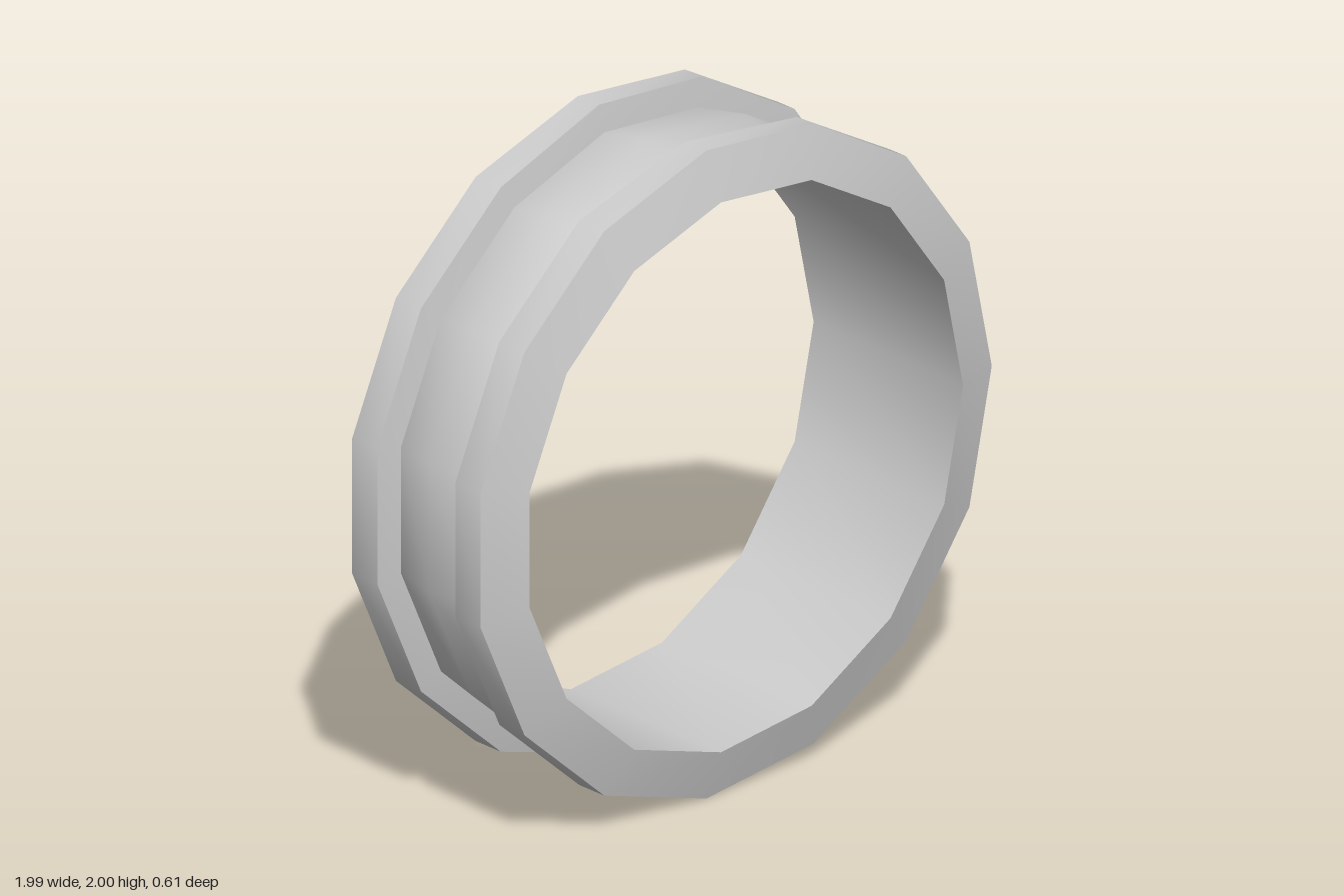
import * as THREE from 'three';
import { toCreasedNormals } from 'three/addons/utils/BufferGeometryUtils.js';

const SIDES = 15;
const INNER = 0.853, OUTER = 1.0055, FLOOR = 0.955;
const HALF = 0.307, LAND = 0.264; // half width at the bore and at the rim land

// Cross-section (radius, z) from front bore edge over the outside to the back.
// The groove is wider on the +x side and narrows to the -x side.
function section(angle) {
  const rim = THREE.MathUtils.lerp(0.161, 0.196,
    THREE.MathUtils.clamp((Math.cos(angle) + 0.5) / 0.809, 0, 1));
  const foot = rim - 0.014;
  const half = [
    [INNER, HALF], [OUTER, LAND], [OUTER, rim], [FLOOR - 0.2 * foot, foot],
  ];
  const back = half.map(([r, z]) => [r, -z]).reverse();
  return [...half, [FLOOR, 0], ...back];
}

function grooveRing() {
  const positions = [], index = [];
  let n = 0;
  for (let i = 0; i < SIDES; i++) {
    const a = (i / SIDES) * Math.PI * 2;
    const pts = section(a);
    n = pts.length;
    for (const [r, z] of pts) positions.push(r * Math.cos(a), r * Math.sin(a), z);
  }
  // Join neighbouring sections; the last profile point wraps round to close the bore
  for (let i = 0; i < SIDES; i++) {
    const p = i * n, q = ((i + 1) % SIDES) * n;
    for (let j = 0; j < n; j++) {
      const k = (j + 1) % n;
      index.push(p + j, p + k, q + j, q + j, p + k, q + k);
    }
  }
  const geometry = new THREE.BufferGeometry();
  geometry.setAttribute('position', new THREE.Float32BufferAttribute(positions, 3));
  geometry.setIndex(index);
  return toCreasedNormals(geometry, THREE.MathUtils.degToRad(35));
}

export function createModel() {
  const group = new THREE.Group();
  group.name = 'groovedRing';
  const grey = new THREE.MeshStandardMaterial({ color: 0xcccccc });
  grey.name = 'light grey';

  const ring = new THREE.Mesh(grooveRing(), grey);
  ring.name = 'ring';
  ring.position.set(-0.011, 1, 0);
  group.add(ring);
  return group;
}
